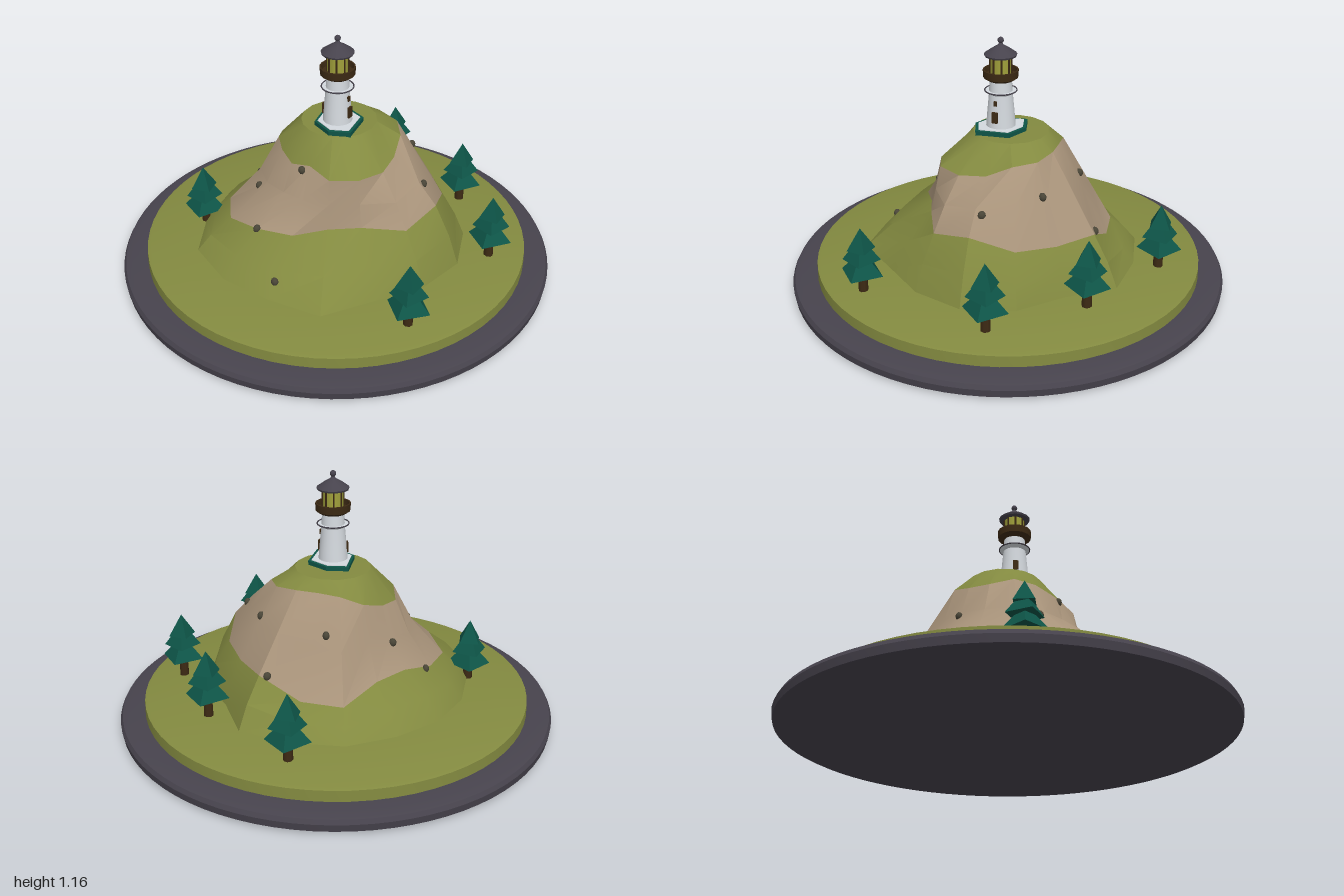
import * as THREE from 'three';
import { toCreasedNormals } from 'three/addons/utils/BufferGeometryUtils.js';

const mat = (name, color) => Object.assign(new THREE.MeshStandardMaterial({ color }), { name });

export function createModel() {
  const model = new THREE.Group();
  model.name = 'lighthouseIsland';

  const slate = mat('slate', 0x47434d);
  const grass = mat('grass', 0x838a40);
  const sand = mat('sand', 0xa8937a);
  const pine = mat('pine', 0x0e5548);
  const bark = mat('bark', 0x3d2a14);
  const white = mat('white', 0xd4d9de);
  const glass = mat('lampGlass', 0xa3a33c);
  const rock = mat('rock', 0x4a4638);

  const add = (parent, name, geometry, material, x = 0, y = 0, z = 0) => {
    const mesh = new THREE.Mesh(geometry, material);
    mesh.name = name;
    mesh.position.set(x, y, z);
    parent.add(mesh);
    return mesh;
  };
  const lathe = (points, sides) =>
    toCreasedNormals(new THREE.LatheGeometry(points.map(p => new THREE.Vector2(...p)), sides), 0.6);

  // Round display base
  add(model, 'base', lathe([[0, 0], [0.97, 0], [0.995, 0.012], [1, 0.045], [0.99, 0.064],
    [0.96, 0.073], [0.86, 0.076], [0, 0.076]], 80), slate);

  // Hill: rings of radius and height, every 22.5 degrees from +x towards +z
  const SIDES = 16;
  const capR = [.26, .29, .29, .29, .32, .33, .30, .24, .25, .25, .26, .28, .27, .27, .25, .24];
  const capY = [.69, .68, .67, .62, .61, .61, .60, .62, .60, .62, .63, .60, .61, .64, .68, .69];
  const sandR = [.50, .47, .49, .50, .48, .38, .35, .40, .45, .50, .50, .45, .40, .40, .48, .47];
  const sandY = [.37, .36, .37, .43, .39, .40, .38, .35, .34, .30, .28, .30, .34, .33, .27, .28];
  const footR = [.63, .55, .60, .62, .60, .58, .66, .62, .64, .66, .62, .60, .59, .58, .60, .60];
  const bulge = [0, 0, .01, .02, .01, 0, 0, -.01, -.05, -.05, -.03, -.02, -.02, -.02, 0, 0];
  const fill = f => Array.from({ length: SIDES }, (_, k) => f(k));
  const mix = THREE.MathUtils.lerp;
  const rings = [
    fill(() => [0, 0.737]),
    fill(k => [0.17 + 0.02 * Math.cos(k * Math.PI / 8), 0.733]),
    fill(k => [capR[k], capY[k]]),
    fill(k => [mix(capR[k], sandR[k], 0.5) + bulge[k], mix(capY[k], sandY[k], 0.5)]),
    fill(k => [sandR[k], sandY[k]]),
    fill(k => [mix(sandR[k], footR[k], 0.6), mix(sandY[k], 0.15, 0.5)]),
    fill(k => [footR[k], 0.153]),
  ];
  const positions = [], index = [];
  for (const ring of rings) ring.forEach(([r, y], k) => {
    const a = k / SIDES * Math.PI * 2;
    positions.push(r * Math.cos(a), y, r * Math.sin(a));
  });
  const hillGeo = new THREE.BufferGeometry();
  for (let j = 0; j < rings.length - 1; j++) {
    const start = index.length;
    for (let k = 0; k < SIDES; k++) {
      const n = (k + 1) % SIDES;
      const a = j * SIDES + k, b = j * SIDES + n, c = a + SIDES, d = b + SIDES;
      if (j > 0) index.push(a, b, d);
      index.push(a, d, c);
    }
    hillGeo.addGroup(start, index.length - start, j === 2 || j === 3 ? 1 : 0);
  }
  hillGeo.setAttribute('position', new THREE.Float32BufferAttribute(positions, 3));
  hillGeo.setIndex(index);
  const hill = add(model, 'hill', toCreasedNormals(hillGeo, 0.45), [grass, sand]);

  // Gently sloping meadow around the hill
  add(model, 'meadow', lathe([[0.887, 0.07], [0.885, 0.125], [0.87, 0.13], [0.5, 0.158], [0, 0.16]], 64), grass);

  // Pines: trunk and three twisted four-sided tiers
  const pines = [[-0.2, 0.14, 0.72], [0.41, 0.15, 0.6], [0.62, 0.165, 0.2], [0.64, 0.145, -0.3], [-0.44, 0.14, -0.44]];
  pines.forEach(([x, y, z], i) => {
    const tree = new THREE.Group();
    tree.name = 'pine' + (i + 1);
    tree.position.set(x, y, z);
    tree.rotation.y = 0.35 + i * 0.08;
    add(tree, 'trunk', new THREE.CylinderGeometry(0.019, 0.022, 0.13, 8), bark, 0, 0.055, 0);
    [[0.1, 0.11, 0.085], [0.083, 0.11, 0.15], [0.062, 0.1, 0.2]].forEach(([r, h, base], t) => {
      const cone = toCreasedNormals(new THREE.ConeGeometry(r, h, 4), 0.1);
      add(tree, 'tier' + (t + 1), cone, pine, 0, base + h / 2, 0).rotation.y = t * 0.35;
    });
    model.add(tree);
  });

  // Boulders dropped onto the slope
  model.updateMatrixWorld(true);
  const ray = new THREE.Raycaster();
  const down = new THREE.Vector3(0, -1, 0);
  [[.33, .15], [.19, .38], [-.24, .06], [-.45, 0], [.27, -.18], [0, -.33], [-.31, -.17],
    [-.13, -.42], [-.52, .22], [.48, -.03]].forEach(([x, z], i) => {
    ray.set(new THREE.Vector3(x, 2, z), down);
    const hit = ray.intersectObject(hill)[0];
    const stone = add(model, 'boulder' + (i + 1), new THREE.IcosahedronGeometry(0.018, 1), rock,
      x, hit ? hit.point.y : 0.3, z);
    stone.scale.set(1, 1.1, 0.85);
    stone.rotation.y = i;
  });

  // Lighthouse
  const tower = new THREE.Group();
  tower.name = 'lighthouse';
  tower.position.set(-0.015, 0, 0.03);
  model.add(tower);

  // Six-cornered terrace with a coloured rim
  const corners = [[0.045, -0.13], [0.105, -0.05], [0.1, 0.06], [-0.035, 0.13], [-0.1, 0.06], [-0.09, -0.05]];
  const slab = (scale, depth) => {
    const shape = new THREE.Shape(corners.map(([x, z]) => new THREE.Vector2(x * scale, -z * scale)));
    return new THREE.ExtrudeGeometry(shape, { depth, bevelEnabled: false }).rotateX(-Math.PI / 2);
  };
  add(tower, 'terraceRim', slab(1, 0.035), pine, 0, 0.718, 0);
  add(tower, 'terraceFloor', slab(0.87, 0.004), white, 0, 0.752, 0);

  // Shaft, lower rail, gallery, lantern and roof
  add(tower, 'shaft', lathe([[0.067, 0.74], [0.062, 0.8], [0.053, 0.9], [0.048, 0.98]], 24), white);
  add(tower, 'lowerRail', new THREE.TorusGeometry(0.071, 0.003, 6, 32).rotateX(Math.PI / 2), slate, 0, 0.919, 0);
  add(tower, 'lowerLedge', new THREE.CylinderGeometry(0.07, 0.055, 0.012, 24), white, 0, 0.912, 0);
  add(tower, 'gallery', lathe([[0, 0.968], [0.06, 0.968], [0.077, 0.98], [0.079, 1.014], [0.072, 1.014], [0.07, 0.99], [0, 0.99]], 16), bark);
  add(tower, 'lampRoom', new THREE.CylinderGeometry(0.046, 0.046, 0.1, 8), glass, 0, 1.034, 0);
  for (let i = 0; i < 8; i++) {
    const a = i * Math.PI / 4;
    add(tower, 'lampPost', new THREE.CylinderGeometry(0.004, 0.004, 0.1, 5), bark,
      0.047 * Math.sin(a), 1.034, 0.047 * Math.cos(a));
  }
  add(tower, 'roof', lathe([[0, 1.076], [0.07, 1.076], [0.073, 1.084], [0.04, 1.108], [0.012, 1.125], [0.005, 1.14], [0, 1.14]], 16), slate);
  add(tower, 'finial', new THREE.SphereGeometry(0.014, 12, 8), slate, 0, 1.146, 0);

  // Door and windows set around the shaft: angle, height, width, tallness, distance from axis
  [[0.3, 0.808, 0.026, 0.05, 0.064], [0.3, 0.872, 0.014, 0.022, 0.058],
    [Math.PI + 0.75, 0.808, 0.024, 0.045, 0.063]].forEach(([a, y, w, h, r]) => {
    const panel = add(tower, h > 0.04 ? 'door' : 'window', new THREE.BoxGeometry(w, h, 0.009), bark,
      r * Math.sin(a), y, r * Math.cos(a));
    panel.rotation.y = a;
  });

  return model;
}
